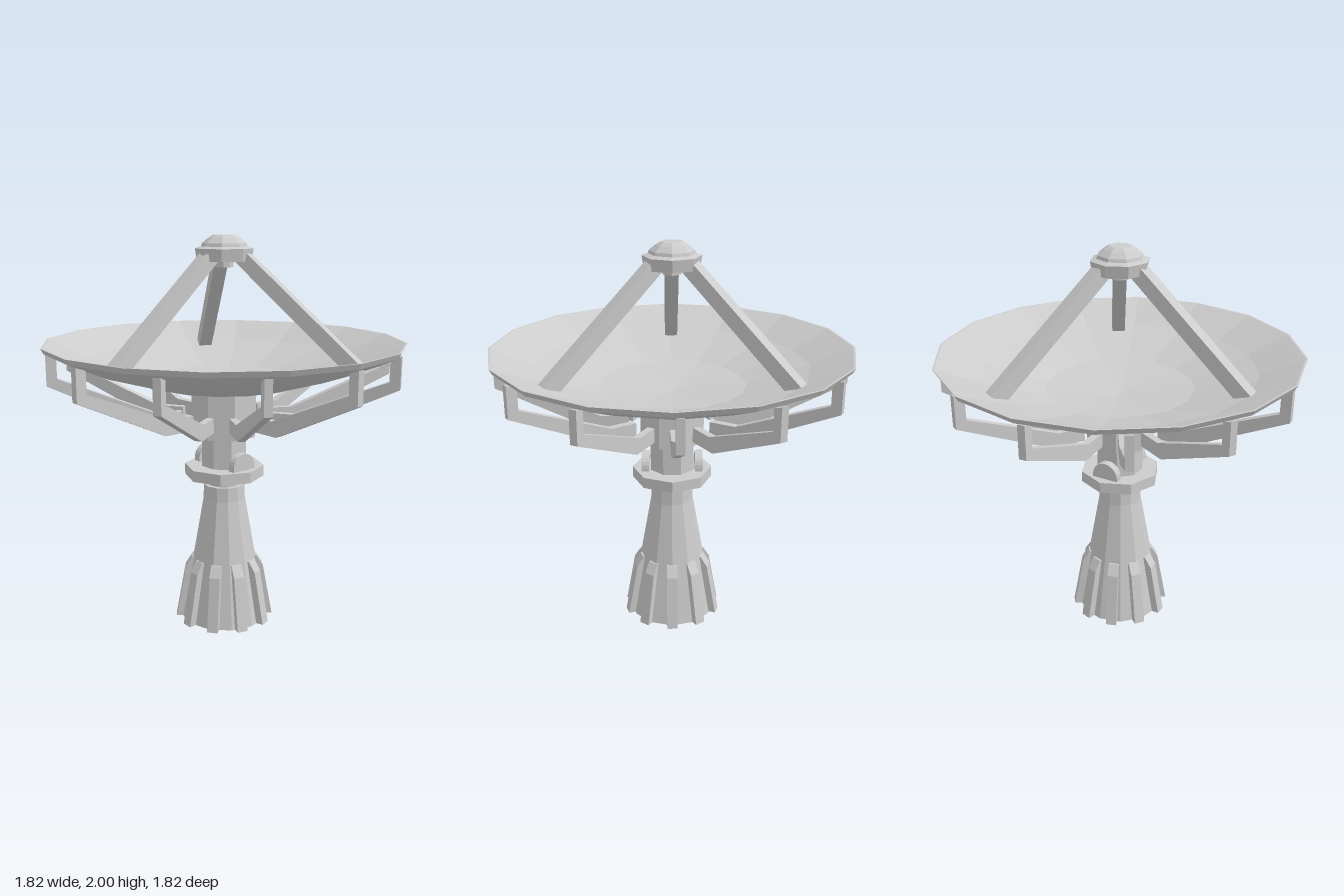
import * as THREE from 'three';

const material = new THREE.MeshStandardMaterial({ color: 0xcccccc, flatShading: true });

// Faceted solid of revolution; profile runs from bottom to top as [radius, y]
function turned(name, profile, sides, turn = 0) {
  const geo = new THREE.LatheGeometry(profile.map(([r, y]) => new THREE.Vector2(r, y)), sides);
  geo.rotateY(turn);
  const mesh = new THREE.Mesh(geo, material);
  mesh.name = name;
  return mesh;
}

// Flat plate cut from a [radius, y] outline, centred on its thickness
function plate(outline, thickness) {
  const shape = new THREE.Shape(outline.map(([r, y]) => new THREE.Vector2(r, y)));
  const geo = new THREE.ExtrudeGeometry(shape, { depth: thickness, bevelEnabled: false });
  return geo.translate(0, 0, -thickness / 2);
}

// Copies of one plate spread evenly around the vertical axis
function around(name, geo, count, start = 0) {
  const group = new THREE.Group();
  group.name = name + 's';
  for (let i = 0; i < count; i++) {
    const mesh = new THREE.Mesh(geo, material);
    mesh.name = name;
    mesh.rotation.y = start + (i / count) * Math.PI * 2;
    group.add(mesh);
  }
  return group;
}

export function createModel() {
  const model = new THREE.Group();
  model.name = 'satelliteDish';
  const eighth = Math.PI / 8;

  // Tapered pedestal with its neck
  model.add(turned('pedestal', [
    [0, 0], [0.225, 0], [0.11, 0.66], [0.107, 0.735], [0.085, 0.735], [0.085, 0.79], [0, 0.79],
  ], 12));

  // Buttress fins around the foot
  const fin = plate([[0.12, 0], [0.256, 0], [0.205, 0.28], [0.17, 0.335], [0.12, 0.335]], 0.055);
  model.add(around('pedestalFin', fin, 10));

  // Turntable, column and collar
  model.add(turned('turntable', [[0, 0.78], [0.205, 0.78], [0.205, 0.837], [0, 0.837]], 8));
  model.add(turned('column', [[0, 0.83], [0.119, 0.83], [0.119, 1.01], [0, 1.01]], 8, eighth));
  model.add(turned('collar', [[0, 1], [0.173, 1], [0.173, 1.24], [0, 1.24]], 8, eighth));

  // Round-topped pivot lugs at front and back
  const lugShape = new THREE.Shape();
  lugShape.moveTo(-0.07, 0.83);
  lugShape.lineTo(0.07, 0.83);
  lugShape.lineTo(0.07, 0.853);
  lugShape.absarc(0, 0.853, 0.07, 0, Math.PI, false);
  const lugGeo = new THREE.ExtrudeGeometry(lugShape, { depth: 0.04, bevelEnabled: false, curveSegments: 6 });
  lugGeo.translate(0, 0, -0.02);
  for (const side of [1, -1]) {
    const lug = new THREE.Mesh(lugGeo, material);
    lug.name = side > 0 ? 'frontPivotLug' : 'backPivotLug';
    lug.position.z = side * 0.138;
    model.add(lug);
  }

  // Shallow reflector bowl: underside out to the rim, then back along the inside
  const bowl = turned('reflector', [
    [0, 1.23], [0.375, 1.27], [0.69, 1.365], [0.895, 1.453], [0.91, 1.48],
    [0.9, 1.48], [0.69, 1.388], [0.375, 1.292], [0, 1.253],
  ], 16);
  model.add(bowl);

  // Cranked support ribs below the bowl
  const rib = plate([
    [0.22, 1.055], [0.39, 1.055], [0.885, 1.285], [0.885, 1.446],
    [0.833, 1.428], [0.833, 1.32], [0.36, 1.13], [0.22, 1.13],
  ], 0.037);
  model.add(around('supportRib', rib, 12, 0.031));

  // Three struts carrying the feed
  const strut = plate([[0.63, 1.36], [0.715, 1.385], [0.115, 1.925], [0.06, 1.88]], 0.07);
  model.add(around('feedStrut', strut, 3, Math.PI / 3));

  // Feed head with a stepped cap
  model.add(turned('feedHead', [
    [0, 1.845], [0.045, 1.845], [0.045, 1.875], [0.135, 1.875], [0.145, 1.935],
    [0.115, 1.945], [0.11, 1.96], [0.08, 1.985], [0.055, 2], [0, 2],
  ], 8));

  return model;
}
